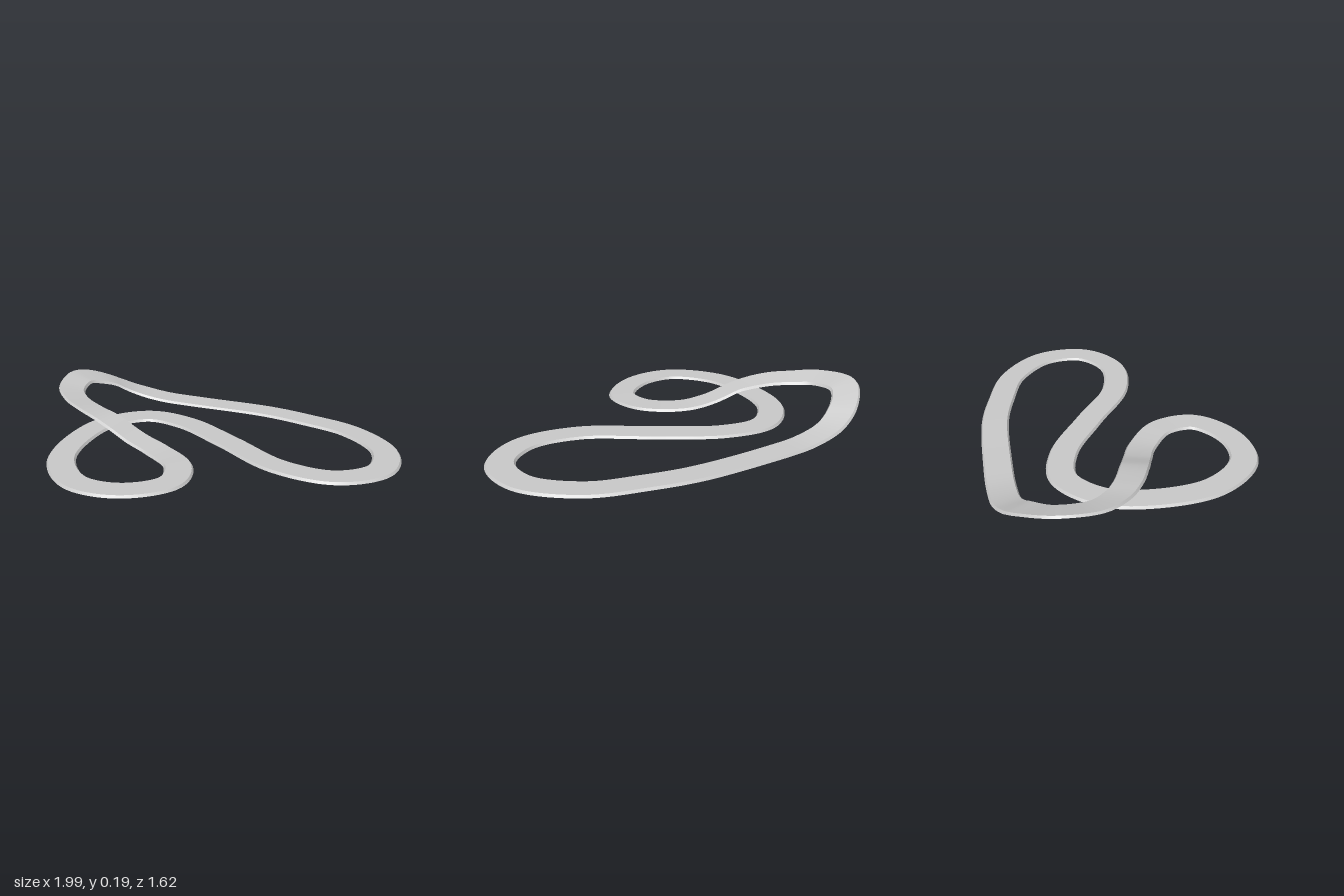
import * as THREE from 'three';
import { toCreasedNormals } from 'three/addons/utils/BufferGeometryUtils.js';

// Centre line of the circuit: [x, height, z], in driving order
const CENTRE = [
  [0.915, 0, -0.4], [0.81, 0, -0.625], [0.53, 0, -0.735], [0.25, 0, -0.71], [0, 0, -0.657],
  [-0.4, 0, -0.497], [-0.61, 0.009, -0.4], [-0.765, 0.045, -0.31], [-0.875, 0.112, -0.19],
  [-0.922, 0.158, -0.03], [-0.83, 0.147, 0.135], [-0.7, 0.13, 0.2], [-0.57, 0.12, 0.223],
  [-0.4, 0.092, 0.217], [-0.22, 0.03, 0.197], [-0.07, 0.004, 0.19], [0.145, 0, 0.25],
  [0.245, 0, 0.42], [0.135, 0, 0.635], [-0.08, 0, 0.727], [-0.345, 0, 0.61], [-0.51, 0, 0.34],
  [-0.555, 0, 0.09], [-0.45, 0, -0.13], [-0.22, 0, -0.197], [0.13, 0, -0.155],
  [0.52, 0, -0.095], [0.8, 0, -0.185],
];

// Road cross-section: [sideways, up], a thin slab with bevelled rims
const SECTION = [[-0.075, 0], [0.075, 0], [0.066, 0.013], [-0.066, 0.013]];

function roadGeometry(steps) {
  const curve = new THREE.CatmullRomCurve3(
    CENTRE.map((p) => new THREE.Vector3(...p)), true, 'centripetal');
  const pos = [], index = [], k = SECTION.length;
  for (let i = 0; i < steps; i++) {
    const p = curve.getPointAt(i / steps);
    const t = curve.getTangentAt(i / steps).setY(0).normalize();
    // The raised bend leans inward, more the higher it climbs
    const bank = 0.3 * THREE.MathUtils.clamp((p.y - 0.09) / 0.07, 0, 1);
    for (const [s, up] of SECTION) pos.push(p.x - t.z * s, Math.max(0, p.y + up + bank * s), p.z + t.x * s);
    for (let j = 0; j < k; j++) {
      const next = (i + 1) % steps, j1 = (j + 1) % k;
      const a = i * k + j, b = i * k + j1, c = next * k + j1, d = next * k + j;
      index.push(a, d, b, b, d, c);
    }
  }
  const geo = new THREE.BufferGeometry();
  geo.setAttribute('position', new THREE.Float32BufferAttribute(pos, 3));
  geo.setIndex(index);
  return toCreasedNormals(geo, Math.PI / 6);
}

export function createModel() {
  const group = new THREE.Group();
  group.name = 'raceCircuit';
  const road = new THREE.Mesh(roadGeometry(320), new THREE.MeshStandardMaterial({ color: 0xcccccc }));
  road.name = 'trackRoad';
  group.add(road);
  return group;
}
